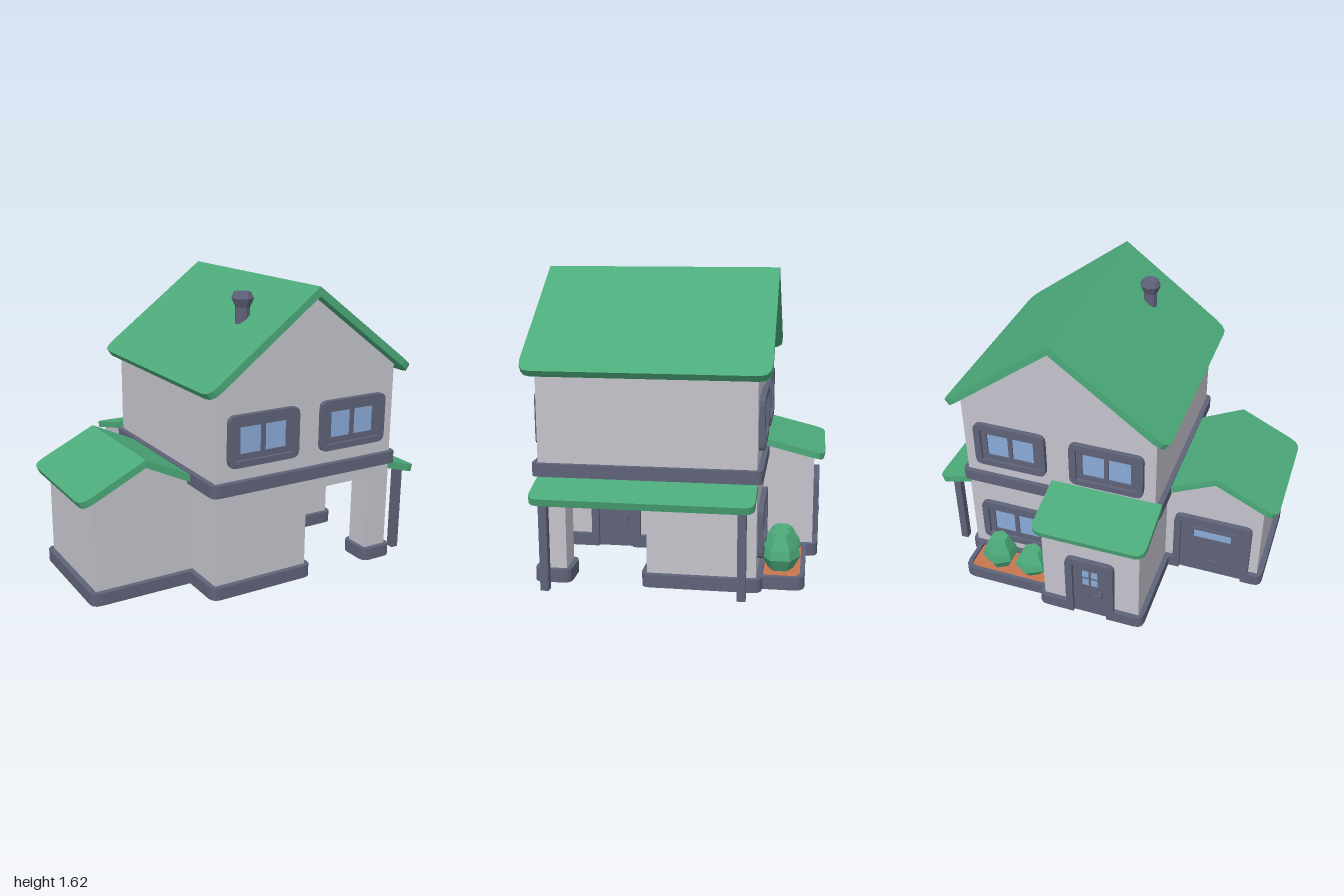
import * as THREE from 'three';

const mat = (name, color) => Object.assign(new THREE.MeshStandardMaterial({ color }), { name });
const wall = mat('wall', 0xc4c3cc);
const green = mat('green', 0x4caa7a);
const slate = mat('slate', 0x5f6378);
const glass = mat('glass', 0x8aaad6);
const soil = mat('soil', 0xc6764f);

// closed path; a third value rounds that corner by that radius
function trace(path, pts) {
  const n = pts.length;
  pts.forEach(([x, y, r = 0], i) => {
    const p = new THREE.Vector2(x, y);
    const toward = ([a, b]) => new THREE.Vector2(a, b).sub(p).setLength(r).add(p);
    const a = r ? toward(pts[(i + n - 1) % n]) : p;
    const b = r ? toward(pts[(i + 1) % n]) : p;
    if (i) path.lineTo(a.x, a.y); else path.moveTo(a.x, a.y);
    if (r) path.quadraticCurveTo(x, y, b.x, b.y);
  });
  path.closePath();
  return path;
}

const rect = (x0, x1, y0, y1, r = 0) => [[x0, y0, r], [x1, y0, r], [x1, y1, r], [x0, y1, r]];

function extrude(pts, depth, holes = []) {
  const shape = trace(new THREE.Shape(), pts);
  holes.forEach((h) => shape.holes.push(trace(new THREE.Path(), h)));
  return new THREE.ExtrudeGeometry(shape, { depth, bevelEnabled: false, curveSegments: 3 });
}

function add(parent, name, geo, material, x = 0, y = 0, z = 0) {
  const mesh = new THREE.Mesh(geo, material);
  mesh.name = name;
  mesh.position.set(x, y, z);
  parent.add(mesh);
  return mesh;
}

// horizontal slab from a plan outline in x, z
function slab(pts, y0, y1, holes = []) {
  const flip = (list) => list.map(([x, z, r]) => [x, -z, r]);
  return extrude(flip(pts), y1 - y0, holes.map(flip)).rotateX(-Math.PI / 2).translate(0, y0, 0);
}

const box = (w, h, d) => new THREE.BoxGeometry(w, h, d);

// sloping roof panel: starts at the origin, falls towards +x, square-cut eave
function roofPanel(run, slope, width, t, r) {
  const w = width / 2;
  const geo = extrude([[0, -w], [run, -w, r], [run, w, r], [0, w]], 1);
  const p = geo.attributes.position;
  const len = Math.hypot(1, slope);
  for (let i = 0; i < p.count; i++) {
    const u = p.getX(i), v = p.getY(i), top = p.getZ(i) > 0.5;
    const x = top ? u : u - (t * slope / len) * (u / run);
    p.setXYZ(i, x, -slope * x - (top ? 0 : t * len), -v);
  }
  geo.computeVertexNormals();
  return geo;
}

// framed window with two panes, facing +z from the wall plane
function makeWindow(name) {
  const g = new THREE.Group();
  g.name = name;
  add(g, 'windowFrame', extrude(rect(-0.214, 0.214, -0.139, 0.139, 0.04), 0.03,
    [rect(-0.175, 0.175, -0.104, 0.104)]), slate);
  add(g, 'windowSash', extrude(rect(-0.176, 0.176, -0.105, 0.105), 0.013,
    [-0.077, 0.077].map((x) => rect(x - 0.064, x + 0.064, -0.072, 0.072))), slate);
  add(g, 'windowGlass', box(0.3, 0.16, 0.004), glass, 0, 0, 0.003);
  return g;
}

// door with surround, facing +z, standing on y = 0
function makeDoor(name, w, inner) {
  const g = new THREE.Group();
  g.name = name;
  const a = w / 2, b = inner / 2;
  add(g, 'doorFrame', extrude([[-a, 0.003], [-a, 0.422, 0.04], [a, 0.422, 0.04], [a, 0.003],
    [b, 0.003], [b, 0.386], [-b, 0.386], [-b, 0.003]], 0.032), slate);
  add(g, 'doorPanel', box(inner + 0.01, 0.384, 0.01), slate, 0, 0.195, 0.005);
  return g;
}

function addLever(door) {
  add(door, 'handlePlate', box(0.025, 0.056, 0.012), slate, 0.06, 0.166, 0.014);
  add(door, 'handleLever', box(0.048, 0.012, 0.012), slate, 0.048, 0.174, 0.03);
  add(door, 'handleStem', box(0.012, 0.012, 0.02), slate, 0.06, 0.174, 0.02);
}

export function createModel() {
  const house = new THREE.Group();
  house.name = 'house';
  const place = (obj, x, y, z, ry = 0) => {
    obj.position.set(x, y, z);
    obj.rotation.y = ry;
    house.add(obj);
    return obj;
  };

  // plinth, notched at each door
  const r = 0.05;
  add(house, 'plinth', slab([
    [-0.38, 0.73, r], [0.25, 0.73, r], [0.25, 0.518], [0.23, 0.518], [0.23, 0.318], [0.25, 0.318],
    [0.25, 0.162], [0.815, 0.162, r], [0.815, -0.463, r], [0.25, -0.463], [0.25, -0.743, r],
    [0.035, -0.743], [0.035, -0.724], [-0.165, -0.724], [-0.165, -0.743], [-0.38, -0.743, r],
    [-0.38, -0.21], [-0.445, -0.21], [-0.445, -0.19], [-0.825, -0.19], [-0.825, -0.21],
    [-0.95, -0.21, r], [-0.95, 0.48, r], [-0.38, 0.48]], 0, 0.07), slate);
  add(house, 'pillarPlinth', slab(rect(0.618, 0.815, 0.532, 0.73, 0.045), 0, 0.07), slate);

  // main block: lower storey with a recessed porch, corner pillar, gabled upper storey
  add(house, 'lowerWalls', slab([[-0.35, 0.7], [0.22, 0.7], [0.22, 0.133], [0.787, 0.133],
    [0.787, -0.434], [-0.35, -0.434]], 0.01, 0.503), wall);
  add(house, 'cornerPillar', slab(rect(0.645, 0.787, 0.56, 0.7), 0.01, 0.503), wall);
  add(house, 'upperWalls', extrude([[-0.35, 0.502], [0.787, 0.502], [0.787, 1.148],
    [0.2185, 1.572], [-0.35, 1.148]], 1.134), wall, 0, 0, -0.434);
  add(house, 'floorBand', slab(rect(-0.38, 0.815, -0.463, 0.731, 0.04), 0.572, 0.64), slate);

  // garage wing and back entrance
  add(house, 'garageWalls', extrude([[-0.918, 0.01], [-0.34, 0.01], [-0.34, 0.58],
    [-0.635, 0.715], [-0.918, 0.58]], 0.63), wall, 0, 0, -0.18);
  const back = add(house, 'backEntranceWalls', extrude([[0.43, 0.01], [0.714, 0.01],
    [0.714, 0.578], [0.43, 0.648]], 0.57), wall, -0.35, 0, 0);
  back.rotation.y = Math.PI / 2;

  // roofs
  const mainRoof = roofPanel(0.65, 0.748, 1.275, 0.04, 0.065);
  place(add(house, 'mainRoofLeft', mainRoof, green), 0.2185, 1.617, 0.133);
  place(add(house, 'mainRoofRight', mainRoof, green), 0.2185, 1.617, 0.133, Math.PI);
  place(add(house, 'garageRoofOuter', roofPanel(0.365, 0.482, 0.707, 0.038, 0.06), green),
    -0.635, 0.756, 0.132, Math.PI);
  place(add(house, 'garageRoofInner', roofPanel(0.29, 0.482, 0.707, 0.038, 0), green),
    -0.635, 0.756, 0.132);
  place(add(house, 'backRoof', roofPanel(0.343, 0.245, 0.655, 0.036, 0.06), green),
    -0.0625, 0.682, -0.432, Math.PI / 2);
  place(add(house, 'sideRoof', roofPanel(0.215, 0.29, 1.137, 0.04, 0.055), green),
    0.785, 0.572, 0.132);

  // posts under the side roof
  for (const z of [0.64, -0.37])
    add(house, 'porchPost', box(0.043, 0.495, 0.043), slate, 0.909, 0.2475, z);

  // windows
  for (const x of [-0.07, 0.502]) {
    place(makeWindow('frontWindow'), x, 0.855, 0.7);
    place(makeWindow('backWindow'), x, 0.855, -0.434, Math.PI);
  }
  place(makeWindow('lowerBackWindow'), 0.502, 0.281, -0.434, Math.PI);

  // porch door
  addLever(place(makeDoor('porchDoor', 0.285, 0.2), 0.22, 0, 0.4175, Math.PI / 2));

  // back door with four small panes
  const backDoor = place(makeDoor('backDoor', 0.285, 0.2), -0.065, 0, -0.714, Math.PI);
  addLever(backDoor);
  for (const x of [-0.026, 0.026])
    for (const y of [0.25, 0.31])
      add(backDoor, 'doorPane', box(0.038, 0.045, 0.006), glass, x, y, 0.0095);

  // garage door with a strip window and a pull
  const garageDoor = place(makeDoor('garageDoor', 0.46, 0.38), -0.635, 0, -0.18, Math.PI);
  add(garageDoor, 'stripFrame', extrude(rect(-0.13, 0.13, 0.255, 0.345), 0.008,
    [rect(-0.112, 0.112, 0.272, 0.328)]), slate, 0, 0, 0.01);
  add(garageDoor, 'stripGlass', box(0.224, 0.056, 0.005), glass, 0, 0.3, 0.0095);
  add(garageDoor, 'garagePull', box(0.075, 0.02, 0.014), slate, 0, 0.09, 0.016);

  // planter with two bushes
  const outer = [[0.24, -0.45], [0.757, -0.45], [0.757, -0.68, 0.06], [0.24, -0.68]];
  const inner = [[0.25, -0.455], [0.732, -0.455], [0.732, -0.655, 0.05], [0.25, -0.655]];
  add(house, 'planterFloor', slab(outer, 0.001, 0.045), slate);
  add(house, 'planterRim', slab(outer, 0.045, 0.07, [inner]), slate);
  add(house, 'planterSoil', slab(inner, 0.045, 0.053), soil);
  const lathe = (pts, sides) => {
    const geo = new THREE.LatheGeometry(pts.map(([a, b]) => new THREE.Vector2(a, b)), sides).toNonIndexed();
    geo.computeVertexNormals();
    return geo;
  };
  const bush = lathe([[0.065, 0], [0.105, 0.07], [0.093, 0.12], [0.054, 0.2], [0, 0.2]], 6);
  add(house, 'tallBush', bush, green, 0.575, 0.05, -0.55);
  add(house, 'shortBush', bush, green, 0.367, 0.05, -0.55).scale.y = 0.8;

  // chimney
  add(house, 'chimney', lathe([[0.04, 1.36], [0.04, 1.487], [0.061, 1.535], [0.046, 1.567],
    [0, 1.567]], 8), slate, -0.035, 0, 0.435);

  return house;
}
